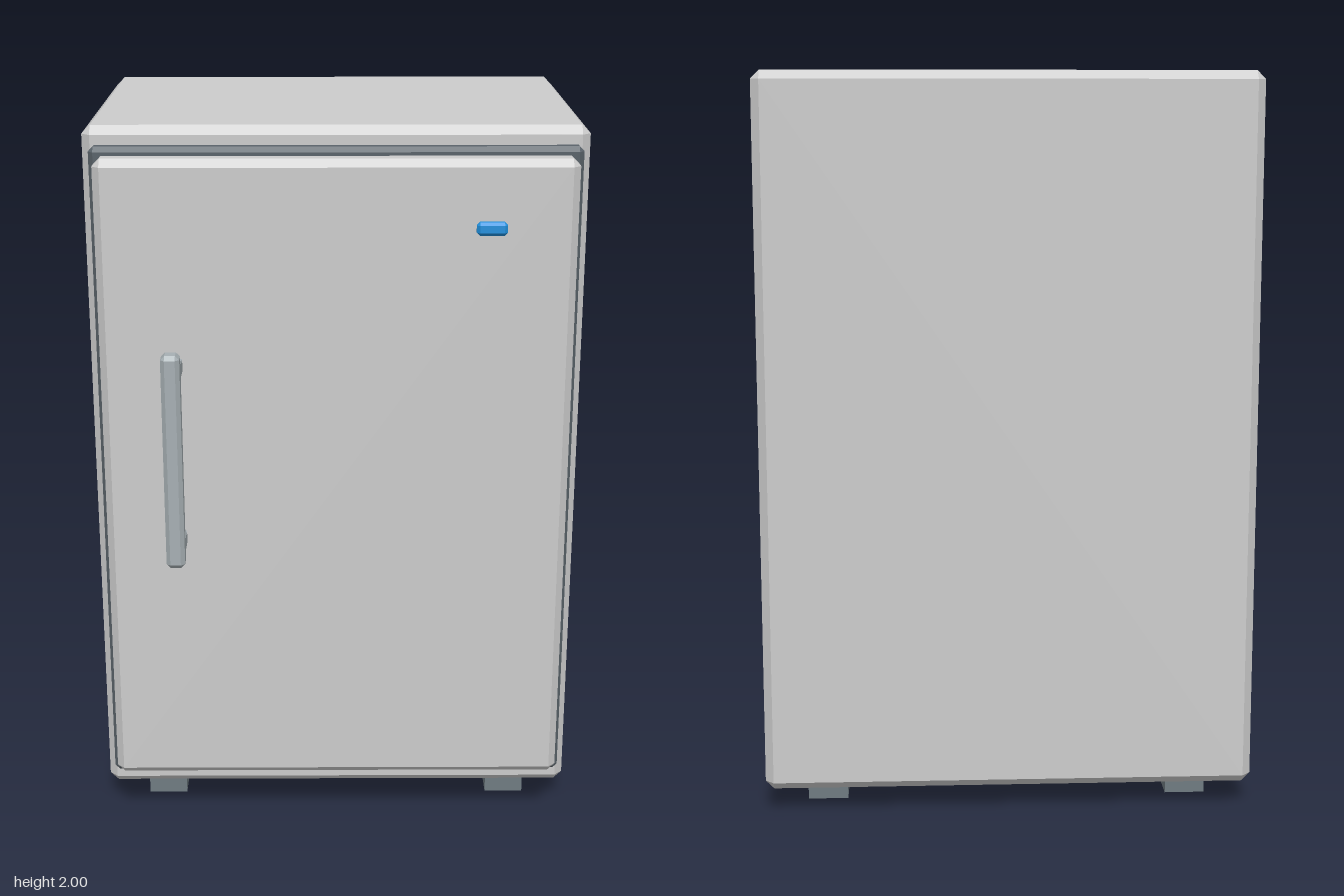
import * as THREE from 'three';
import { ConvexGeometry } from 'three/addons/geometries/ConvexGeometry.js';

const paint = (color) => new THREE.MeshStandardMaterial({ color, flatShading: true });

// Box with flat 45 degree chamfers: each corner is cut back to three points
function chamferBox(w, h, d, c) {
  const points = [];
  for (const sx of [-1, 1]) for (const sy of [-1, 1]) for (const sz of [-1, 1]) {
    const [x, y, z] = [w / 2, h / 2, d / 2];
    points.push(
      new THREE.Vector3(sx * x, sy * (y - c), sz * (z - c)),
      new THREE.Vector3(sx * (x - c), sy * y, sz * (z - c)),
      new THREE.Vector3(sx * (x - c), sy * (y - c), sz * z));
  }
  return new ConvexGeometry(points);
}

export function createModel() {
  const model = new THREE.Group();
  model.name = 'miniFridge';

  const shell = paint(0xd6dada);
  const rubber = paint(0x596269);
  const metal = paint(0xa6afb3);
  const footGrey = paint(0x6f7b81);
  const blue = paint(0x1f8fdc);

  // Adds a block given its x, y and z ranges; a chamfer of 0 keeps sharp edges
  function block(name, material, [x0, x1], [y0, y1], [z0, z1], chamfer = 0, parent = model) {
    const size = [x1 - x0, y1 - y0, z1 - z0];
    const geometry = chamfer ? chamferBox(...size, chamfer) : new THREE.BoxGeometry(...size);
    const mesh = new THREE.Mesh(geometry, material);
    mesh.name = name;
    mesh.position.set((x0 + x1) / 2, (y0 + y1) / 2, (z0 + z1) / 2);
    parent.add(mesh);
  }

  // Cabinet, door seal and door
  block('cabinet', shell, [-0.665, 0.665], [0.07, 2], [-0.574, 0.358], 0.023);
  block('doorSeal', rubber, [-0.642, 0.642], [0.14, 1.954], [0.363, 0.41], 0.013);
  block('door', shell, [-0.628, 0.628], [0.162, 1.932], [0.37, 0.468], 0.02);

  // Handle: upright grip on two stand-offs
  const handle = new THREE.Group();
  handle.name = 'handle';
  model.add(handle);
  block('grip', metal, [-0.458, -0.408], [0.845, 1.44], [0.518, 0.574], 0.011, handle);
  for (const y of [0.898, 1.387]) {
    block('handleMount', metal, [-0.458, -0.408], [y - 0.017, y + 0.017], [0.46, 0.53], 0, handle);
  }

  // Indicator plate on the door
  block('indicator', blue, [0.362, 0.442], [1.737, 1.772], [0.462, 0.487], 0.008);

  // Four square feet
  for (const x of [-0.5, 0.5]) for (const z of [-0.396, 0.232]) {
    block('foot', footGrey, [x - 0.055, x + 0.055], [0, 0.08], [z - 0.056, z + 0.056]);
  }

  return model;
}
